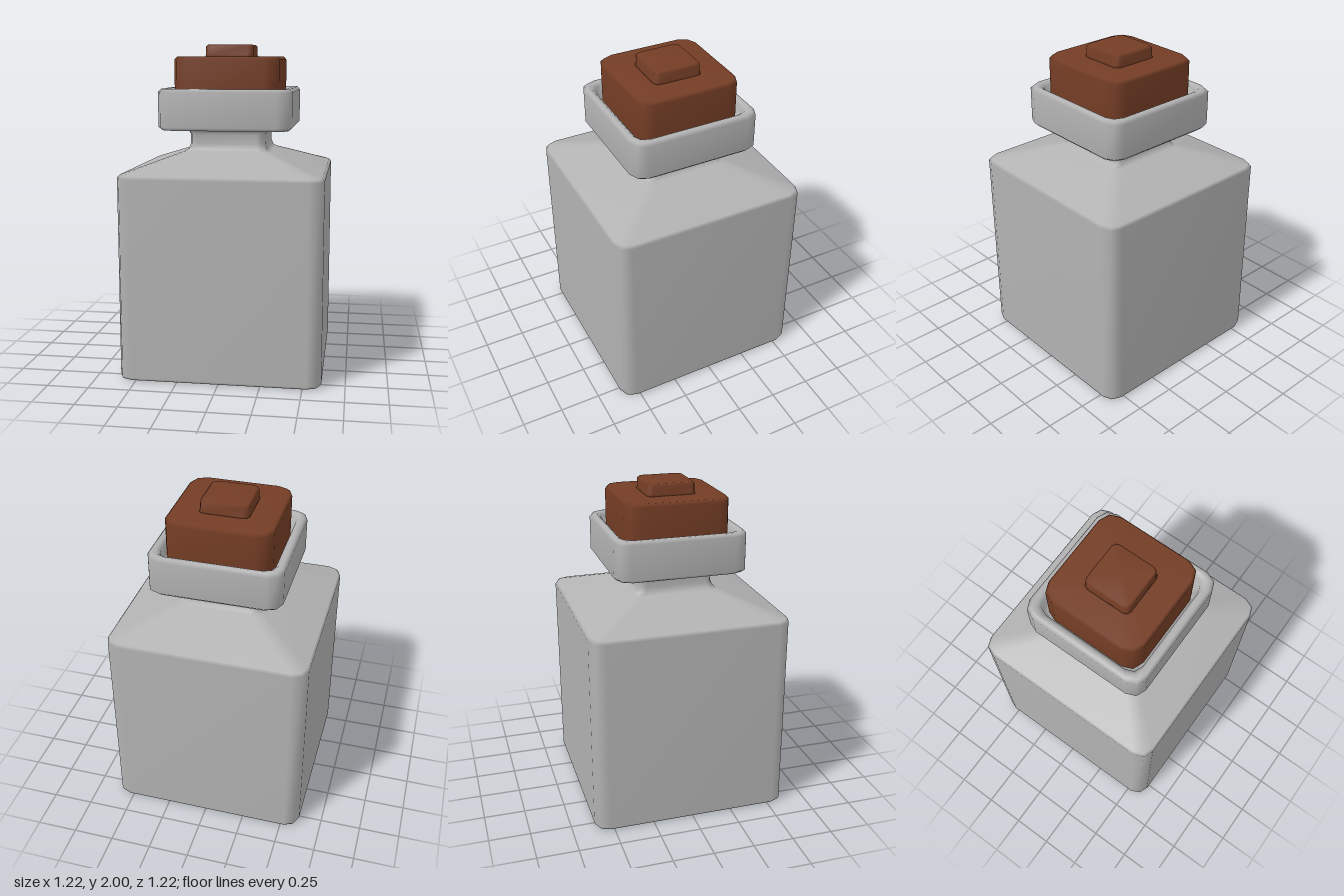
import * as THREE from 'three';

const SIGNS = [[1, 1], [-1, 1], [-1, -1], [1, -1]];

// Square cross-section with two-segment rounded corners, 12 points
function ring(half, y, radius) {
  const points = [];
  SIGNS.forEach(([sx, sz], corner) => {
    for (let k = 0; k < 3; k++) {
      const a = corner * Math.PI / 2 + k * Math.PI / 4;
      points.push(
        sx * (half - radius) + radius * Math.cos(a), y,
        sz * (half - radius) + radius * Math.sin(a));
    }
  });
  return points;
}

// Skins rows of [half width, height, corner radius] and closes both ends
function loft(name, rows, material) {
  const n = 12, positions = [], index = [];
  rows.forEach(row => positions.push(...ring(...row)));
  const bottom = rows.length * n, top = bottom + 1, last = (rows.length - 1) * n;
  positions.push(0, rows[0][1], 0, 0, rows[rows.length - 1][1], 0);
  for (let j = 0; j < n; j++) {
    const k = (j + 1) % n;
    for (let i = 0; i < rows.length - 1; i++) {
      const a = i * n + j, b = i * n + k, c = a + n, d = b + n;
      index.push(a, c, b, b, c, d);
    }
    index.push(bottom, j, k, top, last + k, last + j);
  }
  const geometry = new THREE.BufferGeometry();
  geometry.setAttribute('position', new THREE.Float32BufferAttribute(positions, 3));
  geometry.setIndex(index);
  geometry.computeVertexNormals();
  const mesh = new THREE.Mesh(geometry, material);
  mesh.name = name;
  return mesh;
}

export function createModel() {
  const glass = new THREE.MeshStandardMaterial({ color: 0xb2b2b2 });
  glass.name = 'grey glass';
  const cork = new THREE.MeshStandardMaterial({ color: 0x743d25 });
  cork.name = 'brown cork';

  const group = new THREE.Group();
  group.name = 'bottle';

  // Body, sloped shoulder, neck, collar and its recessed mouth
  group.add(loft('bottle', [
    [0.59, 0, 0.075],
    [0.604, 0.006, 0.08],
    [0.61, 0.02, 0.085],
    [0.61, 1.222, 0.085],
    [0.597, 1.24, 0.08],
    [0.262, 1.355, 0.055],
    [0.242, 1.37, 0.05],
    [0.232, 1.4, 0.05],
    [0.232, 1.46, 0.05],
    [0.242, 1.48, 0.05],
    [0.262, 1.491, 0.055],
    [0.385, 1.491, 0.08],
    [0.404, 1.51, 0.085],
    [0.404, 1.718, 0.085],
    [0.387, 1.737, 0.08],
    [0.362, 1.737, 0.075],
    [0.342, 1.718, 0.07],
    [0.332, 1.66, 0.065],
    [0.31, 1.64, 0.06],
  ], glass));

  // Stopper
  group.add(loft('stopper', [
    [0.3, 1.6, 0.08],
    [0.32, 1.62, 0.09],
    [0.32, 1.91, 0.09],
    [0.305, 1.928, 0.085],
  ], cork));

  // Raised knob on the stopper
  group.add(loft('knob', [
    [0.155, 1.92, 0.035],
    [0.146, 1.938, 0.032],
    [0.146, 1.988, 0.032],
    [0.135, 2, 0.03],
  ], cork));

  return group;
}
